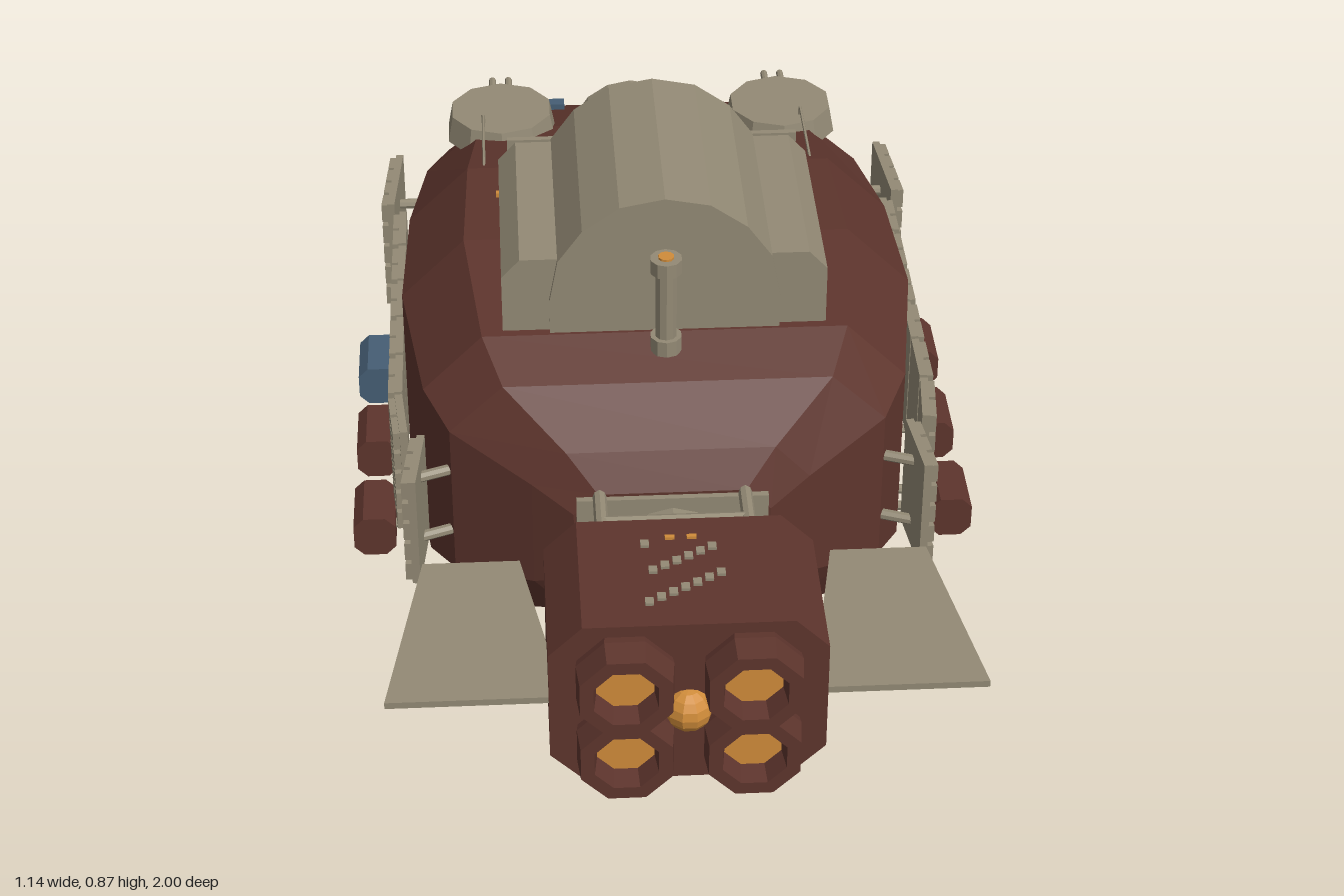
import * as THREE from 'three';
import { mergeGeometries } from 'three/addons/utils/BufferGeometryUtils.js';

const mat = (name, color, side = THREE.FrontSide) => {
  const m = new THREE.MeshStandardMaterial({ color, flatShading: true, side });
  m.name = name;
  return m;
};

export function createModel() {
  const red = mat('rust red', 0x5e352d);
  const grey = mat('warm grey', 0x938a75);
  const orange = mat('orange glow', 0xd08c3a);
  const blue = mat('slate blue', 0x465e74);
  const model = new THREE.Group();
  model.name = 'spaceship';

  const add = (name, geo, material, x = 0, y = 0, z = 0) => {
    const m = new THREE.Mesh(geo, material);
    m.name = name;
    m.position.set(x, y, z);
    model.add(m);
    return m;
  };
  const box = (name, material, w, h, d, x, y, z) => add(name, new THREE.BoxGeometry(w, h, d), material, x, y, z);
  const rod = (name, material, a, b, r, sides = 8) => {
    const p = new THREE.Vector3(...a), q = new THREE.Vector3(...b), d = q.clone().sub(p);
    const m = add(name, new THREE.CylinderGeometry(r, r, d.length(), sides), material);
    m.position.copy(p).add(q).multiplyScalar(0.5);
    m.quaternion.setFromUnitVectors(new THREE.Vector3(0, 1, 0), d.normalize());
    return m;
  };
  // Polygon in x,y pushed along z
  const prism = (pts, depth) => new THREE.ExtrudeGeometry(
    new THREE.Shape(pts.map(p => new THREE.Vector2(...p))), { depth, bevelEnabled: false });
  const octagon = (w, y0, y1, cx, cy = cx) => [
    [w, y0 + cy], [w, y1 - cy], [w - cx, y1], [cx - w, y1],
    [-w, y1 - cy], [-w, y0 + cy], [cx - w, y0], [w - cx, y0]];

  // Skin octagonal sections ordered from +z to -z
  const loft = sections => {
    const pos = [], idx = [], n = 8, last = (sections.length - 1) * n;
    for (const [z, w, y0, y1] of sections)
      for (const [x, y] of octagon(w, y0, y1, w * 0.25, (y1 - y0) * 0.19)) pos.push(x, y, z);
    for (let i = 0; i < sections.length - 1; i++) for (let j = 0; j < n; j++) {
      const a = i * n + j, b = i * n + (j + 1) % n, c = b + n, d = a + n;
      idx.push(a, d, c, a, c, b);
    }
    for (let j = 1; j < n - 1; j++) idx.push(0, j, j + 1, last, last + j + 1, last + j);
    const g = new THREE.BufferGeometry();
    g.setAttribute('position', new THREE.Float32BufferAttribute(pos, 3));
    g.setIndex(idx);
    g.computeVertexNormals();
    return g;
  };
  add('hull', loft([
    [0.5, 0.17, 0.2, 0.42], [0.46, 0.24, 0.14, 0.48], [0.37, 0.38, 0.08, 0.56], [0.28, 0.425, 0.04, 0.605],
    [0, 0.465, 0.02, 0.628], [-0.28, 0.455, 0.03, 0.612], [-0.53, 0.425, 0.06, 0.555],
    [-0.7, 0.385, 0.1, 0.48], [-0.84, 0.3, 0.135, 0.42], [-0.92, 0.23, 0.155, 0.38]]), red);
  box('keelPlate', grey, 0.18, 0.018, 0.71, 0, 0.012, -0.055);

  // Nose fin under the docking ring
  add('chinFin', loft([[-0.72, 0.055, 0.06, 0.13], [-0.95, 0.035, 0.09, 0.125]]), red);

  // Docking ring and its struts
  const ringProfile = [[0.07, -0.03], [0.1, -0.033], [0.128, -0.012], [0.128, 0.012], [0.1, 0.033],
    [0.07, 0.03], [0.06, 0], [0.07, -0.03]].map(p => new THREE.Vector2(...p));
  add('dockingRing', new THREE.LatheGeometry(ringProfile, 16), grey, 0, 0.275, -0.967).rotation.x = Math.PI / 2;
  for (const s of [-1, 1]) for (const y of [0.22, 0.33])
    rod('ringStrut', grey, [s * 0.07, y, -0.9], [s * 0.07, y, -0.95], 0.01);

  // Top hangar: faceted arch with chamfered side bays
  const half = [[0.2, 0.56], [0.2, 0.67], [0.185, 0.75], [0.142, 0.81], [0.078, 0.855]];
  const mirror = pts => pts.map(([x, y]) => [-x, y]).reverse();
  add('hangarArch', prism([...half, [0, 0.87], ...mirror(half)], 0.42), grey, 0, 0, -0.145);
  const bay = [[0.282, 0.57], [0.282, 0.715], [0.25, 0.75], [0.17, 0.75], [0.17, 0.57]];
  for (const s of [-1, 1])
    add('hangarBay', prism(s > 0 ? bay : mirror(bay), 0.4), grey, 0, 0, -0.135);
  for (let i = 0; i < 5; i++) for (let j = 0; j < 2; j++)
    box('hangarDoorPanel', red, 0.092, 0.05, 0.008, (i - 2) * 0.104, 0.65 + j * 0.062, i % 4 ? -0.147 : -0.138);
  for (let i = 0; i < 6; i++)
    box('hangarDoorRib', grey, 0.01, 0.135, 0.012, (i - 2.5) * 0.104, 0.68, -0.149);
  for (const y of [0.62, 0.681, 0.745]) box('hangarDoorRail', grey, 0.53, 0.01, 0.012, 0, y, -0.149);

  // Periscope mast
  rod('mast', grey, [0, 0.58, 0.305], [0, 0.77, 0.305], 0.019, 10);
  rod('mastBase', grey, [0, 0.585, 0.305], [0, 0.615, 0.305], 0.028, 10);
  rod('mastHead', grey, [0, 0.745, 0.305], [0, 0.772, 0.305], 0.028, 10);
  rod('mastLens', orange, [0, 0.771, 0.305], [0, 0.776, 0.305], 0.014, 10);

  // Boom joining hull and engine
  box('boomPlate', grey, 0.33, 0.21, 0.012, 0, 0.31, 0.505);
  rod('boomCore', grey, [0, 0.31, 0.49], [0, 0.31, 0.67], 0.085, 12);
  for (const s of [-1, 1]) {
    const x = s * 0.125;
    for (const y of [0.205, 0.415]) rod('boomRod', grey, [x, y, 0.45], [x, y, 0.67], 0.012);
    rod('boomUpright', grey, [x, 0.205, 0.57], [x, 0.415, 0.57], 0.01);
    rod('boomBrace', grey, [x, 0.23, 0.66], [x, 0.41, 0.57], 0.008);
    rod('boomBrace', grey, [x, 0.22, 0.51], [x, 0.4, 0.65], 0.008);
  }
  for (const y of [0.205, 0.415]) rod('boomCrossbar', grey, [-0.125, y, 0.57], [0.125, y, 0.57], 0.01);

  // Engine block with four hollow nozzles
  add('engineBlock', prism(octagon(0.225, 0.17, 0.488, 0.055), 0.275), red, 0, 0, 0.663);
  const nozzleProfile = [[0.08, -0.02], [0.085, 0.015], [0.08, 0.062], [0.056, 0.062], [0.05, 0.02]]
    .map(p => new THREE.Vector2(...p));
  for (const x of [-0.103, 0.103]) for (const y of [0.257, 0.391]) {
    add('nozzle', new THREE.LatheGeometry(nozzleProfile, 8, Math.PI / 8), mat2(), x, y, 0.938).rotation.x = Math.PI / 2;
    add('nozzleGlow', new THREE.CircleGeometry(0.056, 12), orange, x, y, 0.96);
  }
  function mat2() { return nozzleRed; }
  add('engineLamp', new THREE.SphereGeometry(0.04, 10, 8), orange, 0, 0.315, 0.935);

  // Tail wings
  for (const s of [-1, 1]) {
    const w = [[0.265, -0.58], [0.2, -0.935], [0.488, -0.935], [0.43, -0.58]];
    add('wing', prism(s > 0 ? w : mirror(w), 0.012), grey, 0, 0.334, 0).rotation.x = -Math.PI / 2;
  }

  // Tiled armour: [zFront, zBack, xFront, xBack, yLow, yHigh, columns]
  const armour = [[0.455, 0.315, 0.447, 0.432, 0.205, 0.425, 3], [-0.44, -0.63, 0.497, 0.482, 0.2, 0.44, 4]];
  for (let i = 0; i < 6; i++) {
    const z = 0.31 - i * 0.125;
    armour.push([z, z - 0.117, i ? 0.473 : 0.462, 0.473, 0.21, 0.428, 2]);
  }
  const panelGeometry = (len, h, cols) => {
    const parts = [new THREE.BoxGeometry(0.014, h, len)], rows = 5;
    for (let c = 0; c < cols; c++) for (let r = 0; r < rows; r++) {
      const g = new THREE.BoxGeometry(0.014, h / rows - 0.009, len / cols - 0.008);
      parts.push(g.translate(0.012, ((r + 0.5) / rows - 0.5) * h, ((c + 0.5) / cols - 0.5) * len));
    }
    return mergeGeometries(parts);
  };
  for (const s of [-1, 1]) for (const [z0, z1, x0, x1, y0, y1, cols] of armour) {
    const m = add('armourPanel', panelGeometry(Math.hypot(z0 - z1, x0 - x1), y1 - y0, cols), grey,
      s * (x0 + x1) / 2, (y0 + y1) / 2, (z0 + z1) / 2);
    m.rotation.y = Math.atan2(s * (x0 - x1), z0 - z1) + (s < 0 ? Math.PI : 0);
  }
  for (const s of [-1, 1]) {
    // Brackets carrying the end panels
    for (const y of [0.25, 0.38]) {
      rod('armourBracket', grey, [s * 0.36, y, 0.35], [s * 0.44, y, 0.38], 0.01);
      rod('armourBracket', grey, [s * 0.39, y, -0.54], [s * 0.485, y, -0.54], 0.01);
    }

    // Side tanks on short arms
    for (const z of [0.2, -0.04, -0.28]) {
      const x = s * (z < -0.2 ? 0.53 : 0.527);
      add('sideTank', prism(octagon(0.038, -0.04, 0.04, 0.018), 0.12), s < 0 && z < -0.2 ? blue : red, x, 0.16, z - 0.06);
      for (const dz of [-0.025, 0.025]) rod('tankArm', grey, [s * 0.43, 0.165, z + dz], [x, 0.165, z + dz], 0.009);
    }

    // Gun turret with twin barrels and whip antenna
    const x = s * 0.275, z = -0.545;
    add('turretBase', new THREE.CylinderGeometry(0.08, 0.09, 0.07, 10), grey, x, 0.515, z);
    add('turretHead', new THREE.CylinderGeometry(0.1, 0.11, 0.052, 10), grey, x, 0.564, z);
    for (const dx of [-0.016, 0.016]) {
      rod('gunBarrel', grey, [x + dx, 0.556, -0.62], [x + dx, 0.556, -0.72], 0.007);
      rod('gunSleeve', grey, [x + dx, 0.556, -0.63], [x + dx, 0.556, -0.67], 0.011);
    }
    rod('antenna', grey, [s * 0.31, 0.606, -0.49], [s * 0.31, 0.606, -0.25], 0.003, 5);
    rod('antennaPost', grey, [s * 0.31, 0.58, -0.49], [s * 0.31, 0.608, -0.49], 0.004, 5);

    // Marker lamps
    for (const lz of [-0.035, -0.198]) box('sideLamp', orange, 0.008, 0.016, 0.02, s * 0.495, 0.315, lz);
    box('rearSideLamp', orange, 0.012, 0.012, 0.01, s * 0.395, 0.3, -0.67);
    box('topLamp', orange, 0.016, 0.012, 0.01, s * 0.28, 0.622, -0.165);
    box('noseLamp', orange, 0.018, 0.012, 0.01, s * 0.07, 0.455, -0.765);
    box('engineTopLamp', orange, 0.016, 0.008, 0.008, s * 0.018, 0.489, 0.715);
  }
  box('sensorBox', blue, 0.04, 0.022, 0.025, -0.165, 0.435, -0.82);

  // Small fittings on the engine roof and behind the hangar
  for (let i = 0; i < 14; i++)
    box('engineFitting', grey, 0.014, 0.008, 0.016, ((i * 37) % 13 - 6) * 0.01, 0.489, 0.73 + ((i * 29) % 14) * 0.0115);
  for (let i = 0; i < 11; i++)
    box('deckFitting', grey, 0.02, 0.012, 0.01, (i - 5) * 0.018, 0.62, -0.175 - (i % 3) * 0.006);
  return model;
}

// Open nozzle shells show both faces
const nozzleRed = mat('nozzle rust red', 0x5e352d, THREE.DoubleSide);
